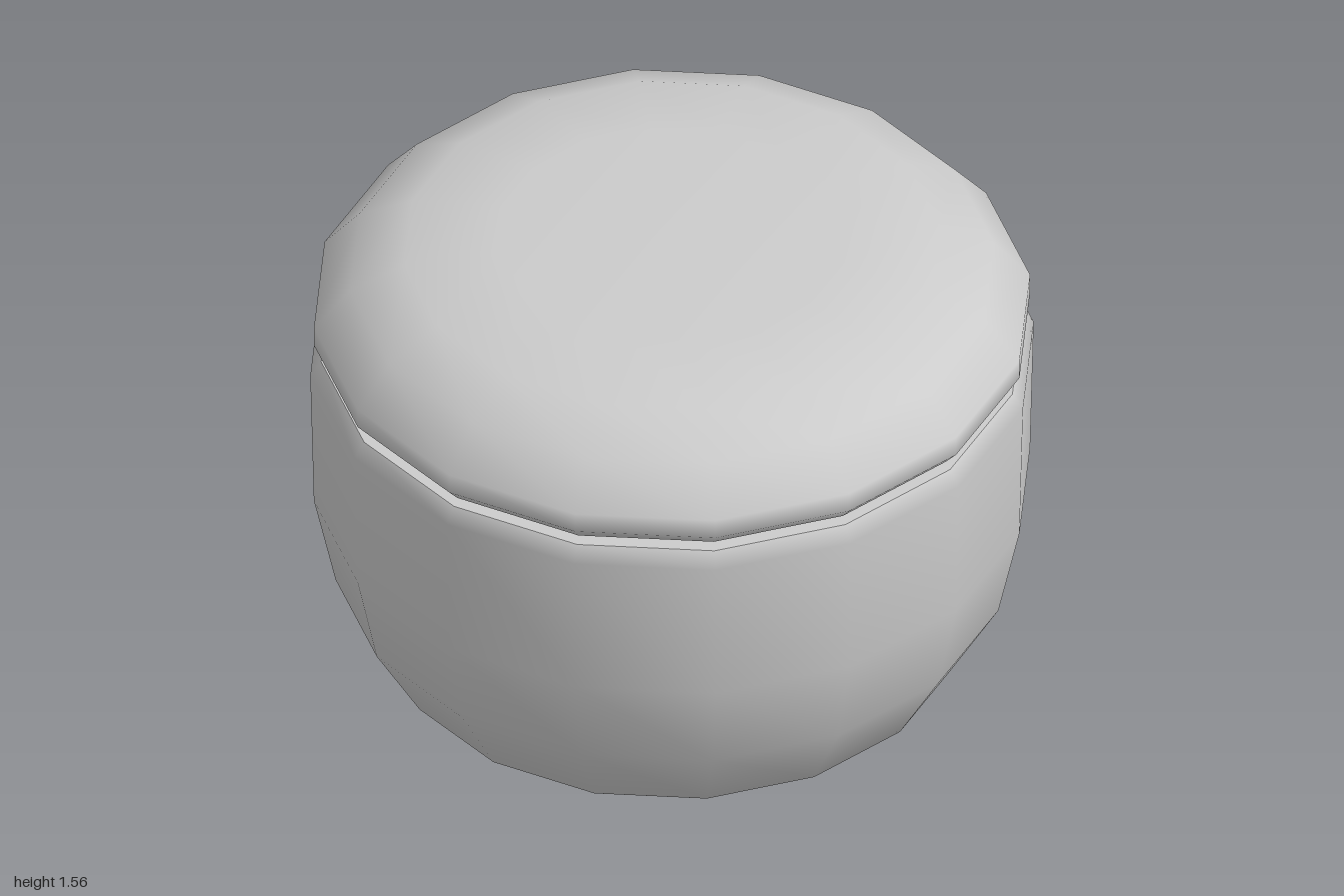
import * as THREE from 'three';

const SIDES = 16;

// Revolves a profile of [radius, height] points; a repeated point makes a sharp edge
function turned(name, profile, material) {
  const points = profile.map(([r, y]) => new THREE.Vector2(r, y));
  const mesh = new THREE.Mesh(new THREE.LatheGeometry(points, SIDES), material);
  mesh.name = name;
  return mesh;
}

export function createModel() {
  const group = new THREE.Group();
  group.name = 'lidded pot';
  const material = new THREE.MeshStandardMaterial({ color: 0xcccccc });

  // Rounded pot with a bevelled rim, closed at the top
  const pot = turned('pot', [
    [0, 0], [0.22, 0], [0.37, 0.01], [0.605, 0.07], [0.795, 0.215],
    [0.93, 0.45], [0.99, 0.73], [1, 1.165], [0.97, 1.21], [0.97, 1.21], [0, 1.21],
  ], material);

  // Domed lid, separated from the pot by a narrow gap
  const lid = turned('lid', [
    [0, 1.23], [0.955, 1.23], [0.955, 1.23], [0.99, 1.27], [0.99, 1.33],
    [0.89, 1.45], [0.74, 1.525], [0.48, 1.56], [0, 1.56],
  ], material);

  group.add(pot, lid);
  return group;
}
